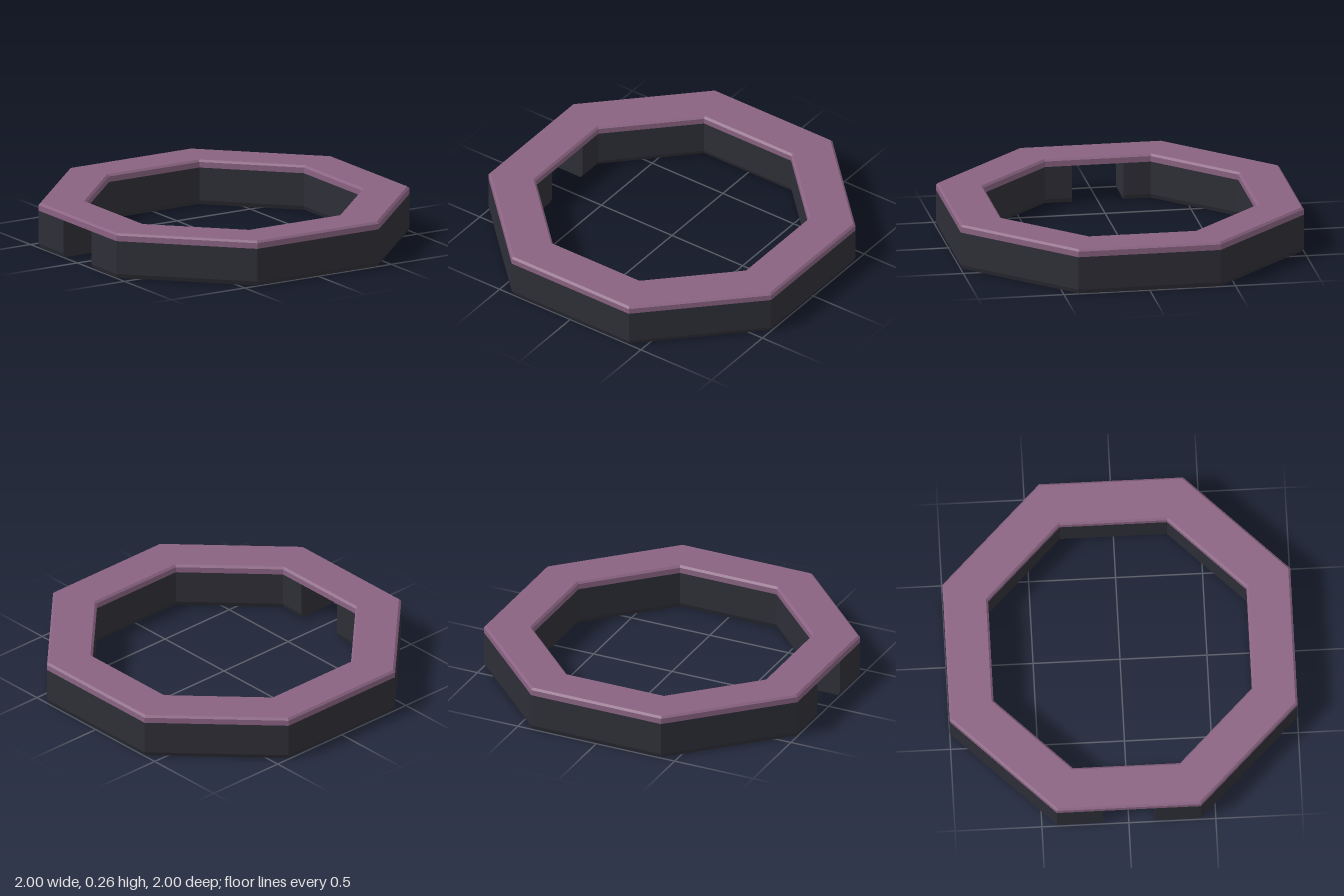
import * as THREE from 'three';

const GAP = 0.15; // half width of the opening on the -x side
const OUT = 1, IN = 0.743; // distance from centre to the outer and inner flats

// Octagon corners for a given flat distance, running from one side of the
// opening round to the other; closed rings simply use the eight corners.
function octagon(a, open) {
  const r = a / Math.cos(Math.PI / 8);
  const pts = [];
  for (let i = 0; i < 8; i++) {
    const t = -Math.PI / 2 + Math.PI / 8 + (i * Math.PI) / 4;
    pts.push([r * Math.sin(t), r * Math.cos(t)]);
  }
  if (open) return [[-a, GAP], ...pts, [-a, -GAP]];
  return [...pts, pts[0]];
}

// Sweep a profile of [flat distance, height] points round the octagon
function sweep(profile, open) {
  const pos = [];
  const rings = profile.map(([a, y]) => octagon(a, open).map(([x, z]) => [x, y, z]));
  for (let j = 0; j < rings.length - 1; j++) {
    for (let i = 0; i < rings[j].length - 1; i++) {
      const a = rings[j][i], b = rings[j][i + 1];
      const c = rings[j + 1][i + 1], d = rings[j + 1][i];
      pos.push(...a, ...b, ...c, ...a, ...c, ...d);
    }
  }
  const g = new THREE.BufferGeometry();
  g.setAttribute('position', new THREE.Float32BufferAttribute(pos, 3));
  g.computeVertexNormals();
  return g;
}

export function createModel() {
  const group = new THREE.Group();
  group.name = 'octagonalRing';
  const material = (color) => new THREE.MeshStandardMaterial({ color, flatShading: true, side: THREE.DoubleSide });
  const dark = material(0x2e2f37);
  const purple = material(0x8a6382);
  const add = (name, geometry, mat) => {
    const mesh = new THREE.Mesh(geometry, mat);
    mesh.name = name;
    group.add(mesh);
    return mesh;
  };

  // Thin walls with a bevelled foot, hollow between them and open below
  const outer = [[OUT - 0.01, 0], [OUT, 0.025], [OUT, 0.22]];
  const inner = [[IN, 0.22], [IN, 0.025], [IN + 0.01, 0]];
  add('outerWall', sweep(outer, true), dark);
  add('innerWall', sweep(inner, true), dark);

  // Flat end plates closing the channel on both sides of the opening
  const section = new THREE.Shape([...outer, ...inner].map(([a, y]) => new THREE.Vector2(-a, y)));
  for (const side of [-1, 1]) {
    const plate = add(side < 0 ? 'backEndPlate' : 'frontEndPlate', new THREE.ShapeGeometry(section), dark);
    plate.position.z = side * GAP;
    if (side > 0) {
      // Turn the front plate to face into the opening
      plate.rotation.y = Math.PI;
      plate.scale.x = -1;
    }
  }

  // Unbroken cap with bevelled edges
  add('topCap', sweep([
    [OUT, 0.22], [OUT, 0.253], [OUT - 0.012, 0.265],
    [IN + 0.012, 0.265], [IN, 0.253], [IN, 0.22],
  ], false), purple);

  return group;
}
